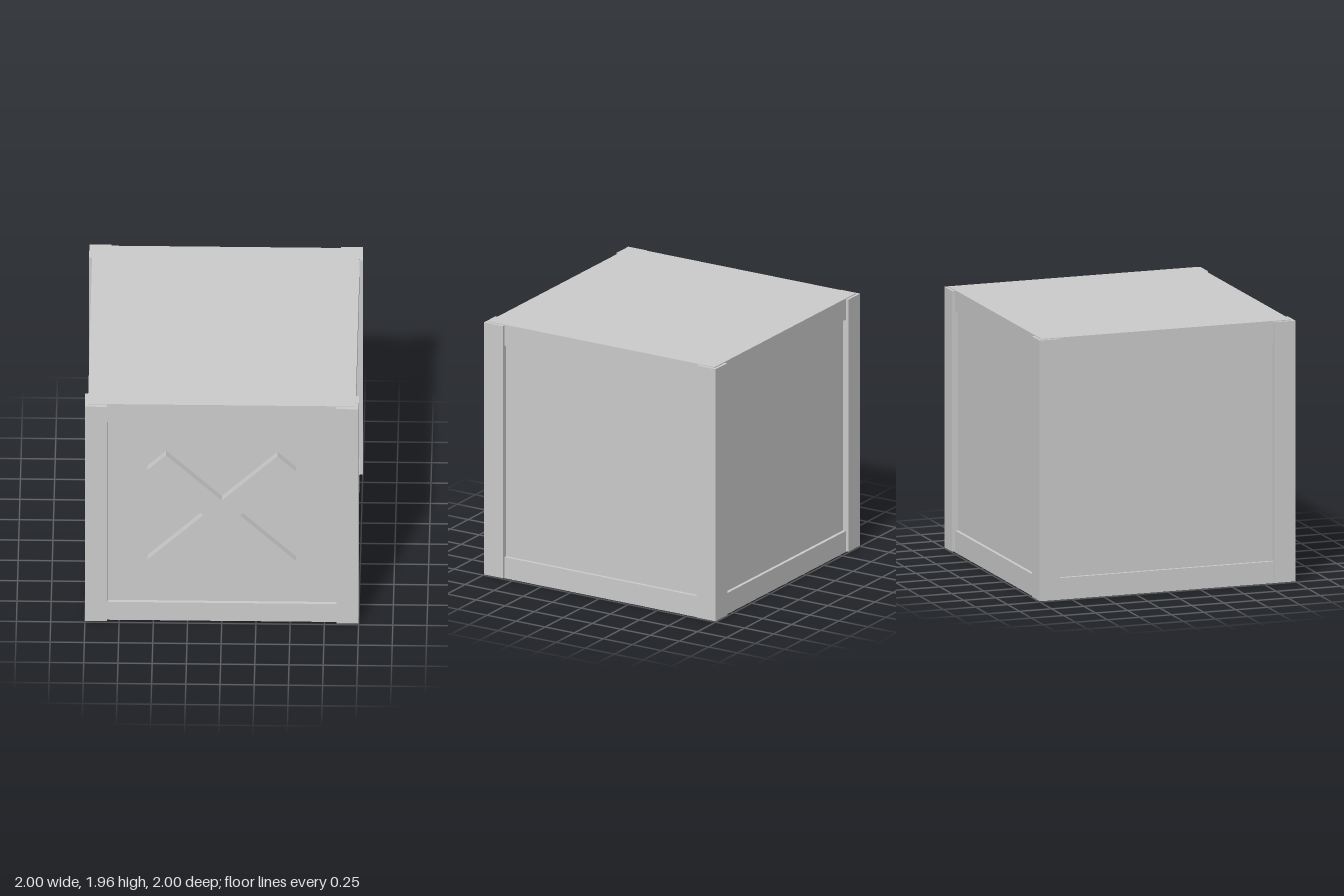
import * as THREE from 'three';

export function createModel() {
  const model = new THREE.Group();
  const grey = new THREE.MeshStandardMaterial({ color: 0xcccccc });
  grey.name = 'light grey';

  const H = 1.96, railH = 0.163, bodyX = 0.978, bodyZ = 0.973, cz = -0.005;
  const inset = 0.025;

  function box(name, w, h, d, x, y, z) {
    const mesh = new THREE.Mesh(new THREE.BoxGeometry(w, h, d), grey);
    mesh.name = name;
    mesh.position.set(x, y, z);
    model.add(mesh);
  }

  // Recessed side panels, closed between the top and bottom slabs
  box('sidePanels', 2 * (bodyX - inset), H - 2 * railH, 2 * (bodyZ - inset), 0, H / 2, cz);

  // Slabs whose edges form the rails
  box('bottomSlab', 2 * bodyX, railH, 2 * bodyZ, 0, railH / 2, cz);
  box('topSlab', 2 * bodyX, railH, 2 * bodyZ, 0, H - railH / 2, cz);

  // Corner posts, slightly proud of the rails and slightly shorter
  const postW = 0.163, postZ = 0.997;
  for (const sx of [-1, 1]) {
    for (const sz of [-1, 1]) {
      box('cornerPost', postW, H - 0.012, postW,
        sx * (1 - postW / 2), H / 2, sz * (postZ - postW / 2) - 0.003);
    }
  }

  // Raised diagonal cross on the front
  const a = 0.67, w = 0.095;
  const outline = [];
  for (let i = 0; i < 4; i++) {
    const dir = Math.PI / 4 + i * Math.PI / 2;
    for (const [u, v] of [[a, -w], [a, w], [w, w]]) {
      outline.push(new THREE.Vector2(u, v).rotateAround(new THREE.Vector2(), dir));
    }
  }
  const back = cz + bodyZ - inset - 0.005;
  const cross = new THREE.Mesh(
    new THREE.ExtrudeGeometry(new THREE.Shape(outline), { depth: 1 - back, bevelEnabled: false }), grey);
  cross.name = 'frontCross';
  cross.position.set(0, 0.983, back);
  model.add(cross);

  return model;
}
